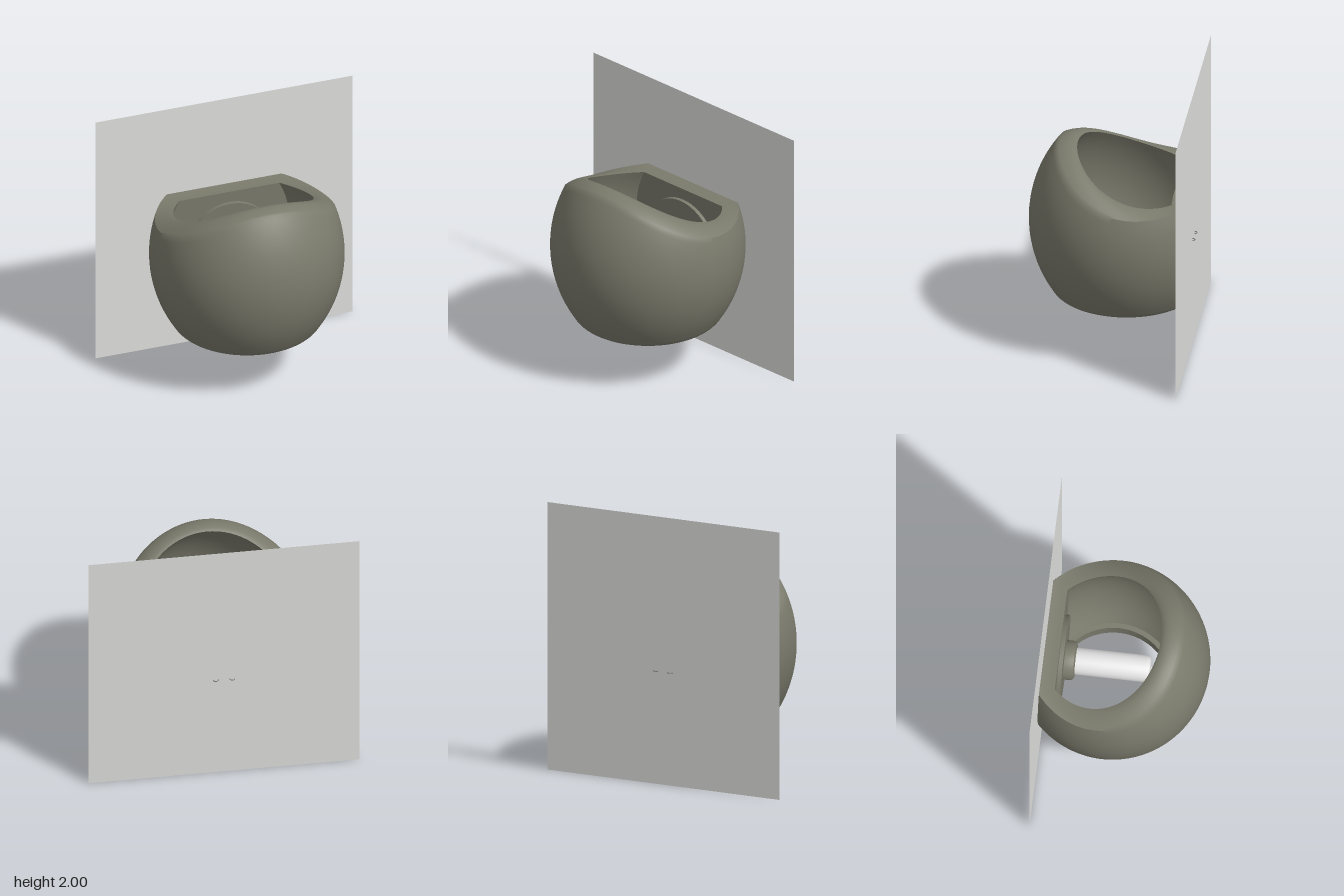
import * as THREE from 'three';
import { toCreasedNormals } from 'three/addons/utils/BufferGeometryUtils.js';

const CZ = -0.1;          // z of the shade's vertical axis
const AXIS_Y = 0.86;      // height of the lamp holder
const bodyMat = new THREE.MeshStandardMaterial({ color: 0x7a7a6c, name: 'olive grey shade' });
const wallMat = new THREE.MeshStandardMaterial({ color: 0xe0e0de, name: 'pale wall', side: THREE.DoubleSide });
const bulbMat = new THREE.MeshStandardMaterial({ color: 0xe4e4e4, name: 'white glass' });

// Bulging radius at height y, for the outer or inner skin
const bulge = (R, y) => -0.245 + Math.sqrt(Math.max(0.01, R * R - (y - 0.97) ** 2));
const rOut = (y) => bulge(0.96, y);
const rIn = (y) => bulge(0.845, y);
// Scooped top surface and how far its outer edge is rounded down
const cut = (z) => 2.345 - Math.sqrt(Math.max(0, 1.07 ** 2 - (z + 0.47) ** 2));
const round = (z) => 0.176 * Math.max(0, z + 0.59) ** 1.3;
const lerp = THREE.MathUtils.lerp;

// Rows of the closed wall section: each gives [radius, y, flat back distance] at depth z
function sectionRows() {
  const rows = [() => [0.42, 0.4, 0.38]];
  for (let i = 0; i <= 6; i++) {            // rounded foot
    const t = i / 6, s = 1 - t;
    const r = s * s * 0.5 + 2 * s * t * 0.535 + t * t * rOut(0.45);
    const y = 0.4 + t * t * 0.05;
    rows.push(() => [r, y, 0.41 + 0.08 * (1 - s * s)]);
  }
  for (let i = 1; i <= 20; i++) {           // outer skin
    rows.push((z) => {
      const y = lerp(0.45, cut(z) - round(z), i / 20);
      return [rOut(y), y, 0.49];
    });
  }
  for (let i = 1; i <= 10; i++) {           // rounded rim
    const v = i / 10;
    rows.push((z) => {
      const y = cut(z) - round(z) * (1 - v) ** 2;
      return [lerp(rOut(y), rIn(y), v), y, lerp(0.49, 0.38, v)];
    });
  }
  for (let i = 1; i <= 14; i++) {           // inner skin
    rows.push((z) => {
      const y = lerp(cut(z), 0.5, i / 14);
      return [rIn(y), y, 0.38];
    });
  }
  rows.push(() => [0.42, 0.5, 0.38], () => [0.42, 0.4, 0.38]);   // ledge and lower opening
  return rows;
}

// Place a section point around the axis: a round arc, then a straight chord at the back
function place(row, i, arcN, chordN) {
  let z = 0, x = 0, y = 0;
  for (let k = 0; k < 40; k++) {
    const [r, h, D] = row(z);
    const limit = D >= r ? Math.PI : Math.acos(-D / r);
    let nz;
    if (i <= arcN) {
      const a = lerp(-limit, limit, i / arcN);
      x = r * Math.sin(a);
      nz = CZ + r * Math.cos(a);
    } else {
      x = r * Math.sin(limit) * (1 - 2 * (i - arcN) / chordN);
      nz = CZ + r * Math.cos(limit);
    }
    y = h;
    z = (z + nz) / 2;
  }
  return [x, y, z];
}

function shadeGeometry() {
  const arcN = 120, chordN = 16, N = arcN + chordN;
  const rows = sectionRows();
  const pos = [], idx = [];
  rows.forEach((row) => {
    for (let i = 0; i <= N; i++) pos.push(...place(row, i, arcN, chordN));
  });
  for (let j = 0; j < rows.length - 1; j++) {
    for (let i = 0; i < N; i++) {
      const a = j * (N + 1) + i, b = a + N + 1;
      idx.push(a, a + 1, b + 1, a, b + 1, b);
    }
  }
  const g = new THREE.BufferGeometry();
  g.setAttribute('position', new THREE.Float32BufferAttribute(pos, 3));
  g.setIndex(idx);
  return toCreasedNormals(g, 0.6);
}

// Turned part along +z from [radius, z] pairs
function turned(name, points, mat) {
  const g = new THREE.LatheGeometry(points.map(([r, z]) => new THREE.Vector2(r, z)), 48);
  g.rotateX(Math.PI / 2);
  const m = new THREE.Mesh(toCreasedNormals(g, 0.6), mat);
  m.name = name;
  m.position.y = AXIS_Y;
  return m;
}

export function createModel() {
  const group = new THREE.Group();
  group.name = 'wallLamp';
  const add = (name, geo, mat, x = 0, y = 0, z = 0) => {
    const m = new THREE.Mesh(geo, mat);
    m.name = name;
    m.position.set(x, y, z);
    group.add(m);
    return m;
  };

  add('wall', new THREE.PlaneGeometry(2, 2), wallMat, 0, 1, -0.592);
  add('shade', shadeGeometry(), bodyMat);

  // Mounting plate, socket and bulb on the back wall
  group.add(turned('mountingPlate', [[0, -0.49], [0.33, -0.49], [0.33, -0.45], [0, -0.45]], bodyMat));
  group.add(turned('socket', [[0, -0.45], [0.145, -0.45], [0.145, -0.4], [0.138, -0.38],
    [0.12, -0.37], [0, -0.37]], bodyMat));
  group.add(turned('bulb', [[0, -0.37], [0.1, -0.37], [0.1, 0.14], [0.094, 0.162], [0.08, 0.177],
    [0.06, 0.18], [0.025, 0.182], [0.025, 0.215], [0.018, 0.23], [0, 0.235]], bulbMat));

  // Wire loops behind the wall
  for (const side of [-1, 1]) {
    const loop = add('wireLoop', new THREE.TorusGeometry(0.02, 0.003, 6, 20, Math.PI), bodyMat,
      side * 0.06, 0.845, -0.592);
    loop.rotation.x = -Math.PI / 2;
  }
  return group;
}
